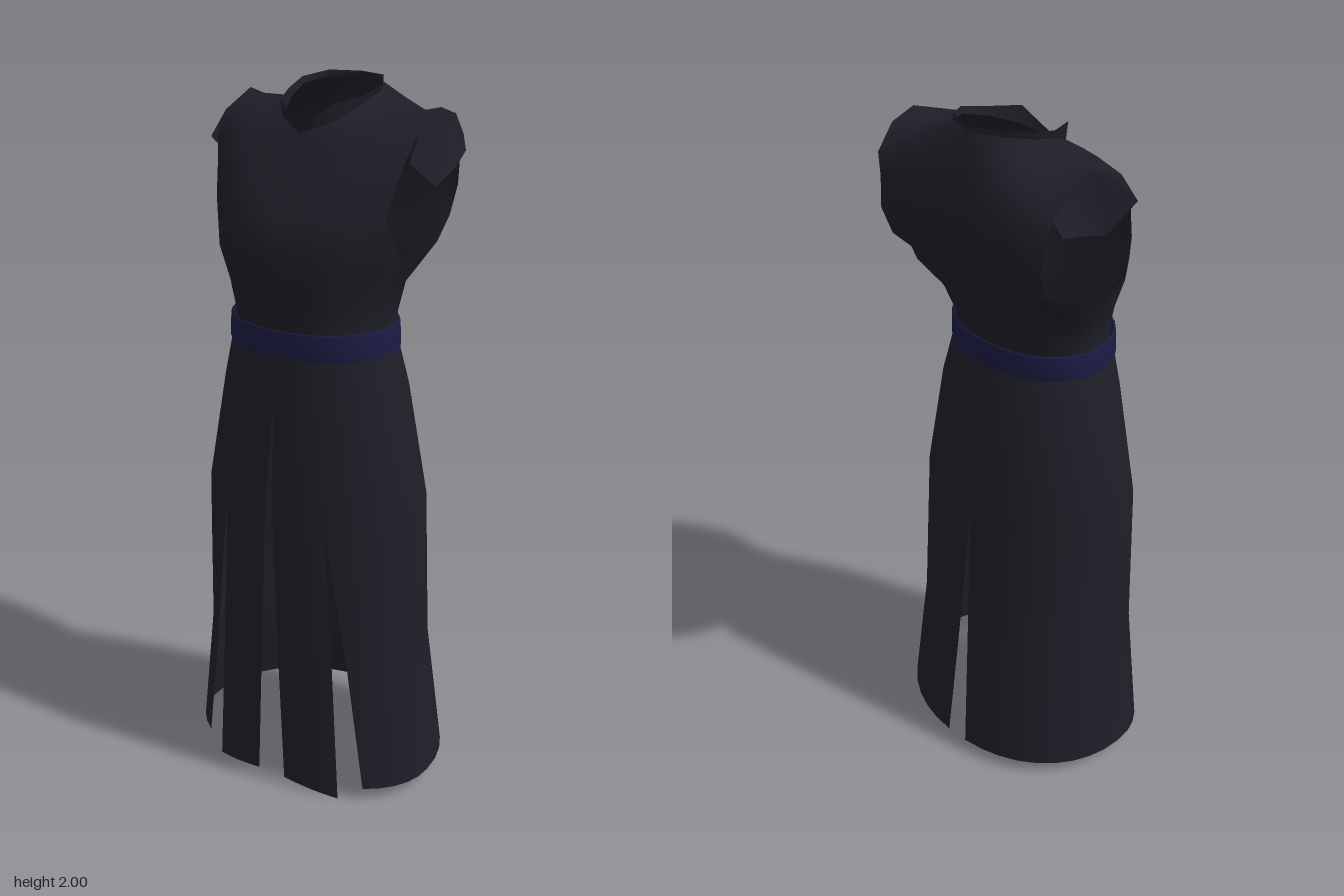
import * as THREE from 'three';
import { mergeVertices } from 'three/addons/utils/BufferGeometryUtils.js';

const cloth = new THREE.MeshStandardMaterial({ color: 0x1e1e28, side: THREE.DoubleSide });
cloth.name = 'dark cloth';
const sash = new THREE.MeshStandardMaterial({ color: 0x1c1b43, side: THREE.DoubleSide });
sash.name = 'navy sash';

const POWER = 0.94; // squareness of the oval cross-sections
const CENTRE_Z = 0.045;

// Point on an oval ring; t runs from 0 (front centre) to PI (back centre) on the +x side
function ringPoint([y, hw, zf, zb], t, grow = 0) {
  const c = Math.cos(t);
  const depth = (c > 0 ? zf - CENTRE_Z : CENTRE_Z - zb) + grow;
  const x = (hw + grow) * Math.pow(Math.max(0, Math.sin(t)), POWER);
  return [x, y, CENTRE_Z + Math.sign(c) * depth * Math.pow(Math.abs(c), POWER)];
}

// Ring angle where the front half reaches a given x
const angleAt = (x, hw) => Math.asin(Math.pow(x / hw, 1 / POWER));

// Append the quads between rows of points; side -1 mirrors to -x
function addSheet(out, rows, side = 1) {
  const put = (p) => out.push(p[0] * side, p[1], p[2]);
  for (let i = 0; i < rows.length - 1; i++) {
    for (let j = 0; j < rows[i].length - 1; j++) {
      const a = rows[i][j], b = rows[i][j + 1], c = rows[i + 1][j + 1], d = rows[i + 1][j];
      const order = side > 0 ? [a, b, c, a, c, d] : [a, c, b, a, d, c];
      order.forEach(put);
    }
  }
}

function meshFrom(name, positions, material) {
  const soup = new THREE.BufferGeometry();
  soup.setAttribute('position', new THREE.Float32BufferAttribute(positions, 3));
  const geometry = mergeVertices(soup, 1e-4);
  geometry.computeVertexNormals();
  const mesh = new THREE.Mesh(geometry, material);
  mesh.name = name;
  return mesh;
}

function mirrored(name, sheets, material) {
  const out = [];
  for (const rows of sheets) for (const side of [1, -1]) addSheet(out, rows, side);
  return meshFrom(name, out, material);
}

export function createModel() {
  const model = new THREE.Group();
  model.name = 'sleevelessRobe';

  // Skirt sections from hem to waist: y, half width, front z, back z
  const skirt = [
    [0.04, 0.383, 0.29, -0.29],
    [0.42, 0.333, 0.288, -0.25],
    [0.88, 0.325, 0.282, -0.205],
    [1.2, 0.265, 0.252, -0.167],
    [1.34, 0.234, 0.235, -0.122],
  ];
  const frontSlit = [0.045, 0.029, 0.012, 0, 0];
  const panelEdge = [0.21, 0.187, 0.16, 0.14, 0.125];
  const sideEdge = [0.275, 0.225, 0.16, 0.14, 0.125];
  const backSlit = [0.035, 0.018, 0, 0, 0];
  const span = (section, t0, t1, n) =>
    Array.from({ length: n + 1 }, (_, j) => ringPoint(section, t0 + ((t1 - t0) * j) / n));

  // Front panels hang a little lower than the rest
  const panels = skirt.map((s, i) => span(s, angleAt(frontSlit[i], s[1]), angleAt(panelEdge[i], s[1]), 4));
  panels[0].forEach((p, j) => { p[1] = 0.03 - 0.0075 * j; });
  const sides = skirt.map((s, i) =>
    span(s, angleAt(sideEdge[i], s[1]), Math.PI - angleAt(backSlit[i], s[1]), 14));
  model.add(mirrored('skirt', [panels, sides], cloth));

  // Bodice: rows run up the chest, over the shoulder and down the back,
  // each from the centre or neck edge to the armhole edge
  const shoulder = [
    [[0, 1.58, 0.272], [0.11, 1.58, 0.258], [0.2, 1.58, 0.205], [0.283, 1.59, 0.085]],
    [[0, 1.67, 0.262], [0.11, 1.67, 0.248], [0.2, 1.68, 0.205], [0.264, 1.69, 0.128]],
    [[0, 1.77, 0.185], [0.11, 1.77, 0.185], [0.2, 1.78, 0.165], [0.278, 1.78, 0.1]],
    [[0, 1.88, 0.122], [0.1, 1.85, 0.128], [0.2, 1.86, 0.11], [0.292, 1.84, 0.08]],
    [[0.08, 1.91, 0.08], [0.14, 1.91, 0.07], [0.21, 1.915, 0.045], [0.3, 1.9, 0.03]],
    [[0.108, 1.945, 0], [0.15, 1.93, -0.01], [0.22, 1.928, -0.04], [0.297, 1.945, -0.08]],
    [[0.12, 1.97, -0.08], [0.16, 1.945, -0.1], [0.22, 1.925, -0.13], [0.303, 1.92, -0.15]],
    [[0.08, 1.985, -0.15], [0.14, 1.94, -0.18], [0.21, 1.9, -0.2], [0.295, 1.86, -0.21]],
    [[0, 1.985, -0.182], [0.1, 1.9, -0.228], [0.2, 1.84, -0.235], [0.285, 1.8, -0.215]],
    [[0, 1.84, -0.25], [0.1, 1.8, -0.248], [0.2, 1.76, -0.238], [0.275, 1.72, -0.228]],
    [[0, 1.7, -0.235], [0.11, 1.7, -0.235], [0.2, 1.68, -0.22], [0.268, 1.64, -0.2]],
    [[0, 1.58, -0.21], [0.11, 1.58, -0.203], [0.2, 1.58, -0.18], [0.265, 1.58, -0.14]],
  ];
  const angles = [0, 0.35, 0.75, 1.3, 1.65, 1.95, 2.4, 2.8, Math.PI];
  const waist = [
    [1.34, 0.234, 0.235, -0.122],
    [1.41, 0.232, 0.238, -0.13],
    [1.49, 0.246, 0.252, -0.17],
  ].map((s) => angles.map((t) => ringPoint(s, t)));
  waist.push([...shoulder[0], [0.284, 1.56, -0.03], ...[...shoulder[11]].reverse()]);
  model.add(mirrored('bodice', [waist, shoulder], cloth));

  // Low standing collar, open in a V at the front
  const collarTop = [
    [0, 1.885, 0.125], [0.078, 1.955, 0.09], [0.115, 1.968, 0],
    [0.125, 1.988, -0.08], [0.085, 2, -0.15], [0, 2, -0.178],
  ];
  const collarBase = shoulder.slice(3, 9).map((row) => row[0]);
  model.add(mirrored('collar', [[collarBase, collarTop]], cloth));

  // Uneven shoulder flaps hanging over the armholes
  const flapTop = shoulder.slice(4, 8).map((row) => row[3]);
  const flaps = {
    leftShoulderFlap: [1, [[0.3, 1.83, 0.08], [0.332, 1.76, 0], [0.35, 1.8, -0.07], [0.315, 1.82, -0.19]]],
    rightShoulderFlap: [-1, [[0.33, 1.83, 0.06], [0.285, 1.745, 0], [0.312, 1.79, -0.1], [0.333, 1.83, -0.215]]],
  };
  for (const [name, [side, hem]] of Object.entries(flaps)) {
    const out = [];
    addSheet(out, [hem, flapTop], side);
    model.add(meshFrom(name, out, cloth));
  }

  // Sash around the waist
  const sashRows = [[1.314, 0], [1.318, 0.006], [1.384, 0.006], [1.388, 0]].map(([y, grow]) =>
    Array.from({ length: 17 }, (_, j) =>
      ringPoint([y, y < 1.35 ? 0.238 : 0.234, 0.238, -0.128], (Math.PI * j) / 16, grow)));
  model.add(mirrored('sash', [sashRows], sash));

  return model;
}
